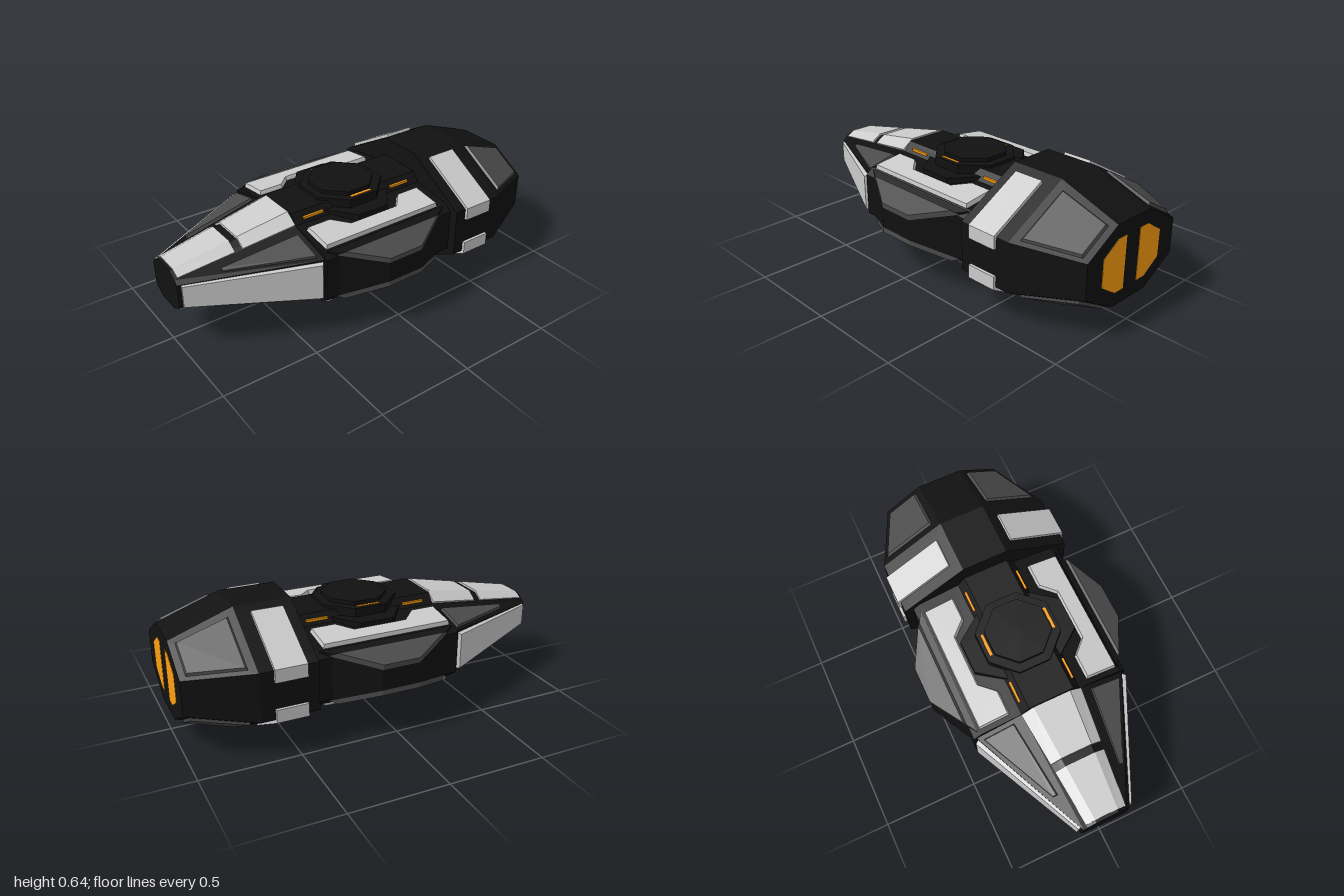
import * as THREE from 'three';

const mat = (color) => new THREE.MeshStandardMaterial({ color, flatShading: true });
const BLACK = mat(0x111111), DARK = mat(0x4c4c4c), LIGHT = mat(0xcccccc), AMBER = mat(0xffa010);
const V = (p) => new THREE.Vector3(...p);

function meshFrom(tris, material, name) {
  const g = new THREE.BufferGeometry().setFromPoints(tris);
  g.computeVertexNormals();
  const m = new THREE.Mesh(g, material);
  m.name = name;
  return m;
}

// Solid through rings of [x, y], sections ordered from low z to high z
function loft(sections, material, name) {
  const rings = sections.map(([z, ring]) => {
    const pts = ring.map(([x, y]) => new THREE.Vector2(x, y));
    if (THREE.ShapeUtils.isClockWise(pts)) pts.reverse();
    return { flat: pts, pts: pts.map((p) => new THREE.Vector3(p.x, p.y, z)) };
  });
  const tris = [];
  for (let k = 0; k < rings.length - 1; k++) {
    const a = rings[k].pts, b = rings[k + 1].pts;
    a.forEach((p, i) => {
      const j = (i + 1) % a.length;
      tris.push(p, a[j], b[j], p, b[j], b[i]);
    });
  }
  const first = rings[0], last = rings[rings.length - 1];
  for (const [i, j, k] of THREE.ShapeUtils.triangulateShape(first.flat, [])) tris.push(first.pts[i], first.pts[k], first.pts[j]);
  for (const [i, j, k] of THREE.ShapeUtils.triangulateShape(last.flat, [])) tris.push(last.pts[i], last.pts[j], last.pts[k]);
  return meshFrom(tris, material, name);
}

// Full ring from the points of one quadrant, listed top to side
function quad(points) {
  const flip = (sx, sy) => points.map(([x, y]) => [sx * x, sy * y]);
  return [...flip(1, 1), ...flip(1, -1).reverse(), ...flip(-1, -1), ...flip(-1, 1).reverse()];
}

// Armour plate with bevelled rim, raised outward from a polygon
function plate(corners, material, name, height = 0.014, inset = 0.01, sink = 0.01) {
  let pts = corners.map(V);
  const n = pts.length, N = new THREE.Vector3(), mid = new THREE.Vector3();
  pts.forEach((p, i) => {
    N.add(p.clone().cross(pts[(i + 1) % n]));
    mid.add(p);
  });
  N.normalize();
  if (N.dot(mid) < 0) {
    pts.reverse();
    N.negate();
  }
  const inward = (i) => N.clone().cross(pts[(i + 1) % n].clone().sub(pts[i % n])).normalize();
  const top = pts.map((p, i) => {
    const a = inward(i + n - 1), b = inward(i);
    const off = a.clone().add(b).multiplyScalar(inset / (1 + a.dot(b)));
    return p.clone().add(off).addScaledVector(N, height);
  });
  const base = pts.map((p) => p.clone().addScaledVector(N, -sink));
  const u = pts[1].clone().sub(pts[0]).normalize(), w = N.clone().cross(u);
  const flat = top.map((p) => new THREE.Vector2(p.dot(u), p.dot(w)));
  const tris = [];
  for (const [i, j, k] of THREE.ShapeUtils.triangulateShape(flat, [])) tris.push(top[i], top[j], top[k]);
  for (let i = 0; i < n; i++) {
    const j = (i + 1) % n;
    tris.push(base[i], base[j], top[j], base[i], top[j], top[i]);
  }
  return meshFrom(tris, material, name);
}

export function createModel() {
  const ship = new THREE.Group();
  ship.name = 'spaceship';
  const body = new THREE.Group();
  body.name = 'body';
  body.position.y = 0.32;
  ship.add(body);
  const add = (m) => body.add(m);

  // Hull: stern block, midsection and tapering nose
  const stern = quad([[0.12, 0.32], [0.465, 0.125]]);
  add(loft([[-1, quad([[0.12, 0.205], [0.32, 0.09]])], [-0.68, stern], [-0.39, stern]], BLACK, 'sternHull'));
  const middle = quad([[0.12, 0.22], [0.16, 0.17], [0.38, 0.14], [0.42, 0.11]]);
  add(loft([[-0.4, middle], [0.38, middle]], BLACK, 'middleHull'));
  add(loft([
    [0.37, quad([[0.1, 0.21], [0.16, 0.17], [0.41, 0.11]])],
    [1, quad([[0.06, 0.105], [0.105, 0.08], [0.125, 0.06]])],
  ], BLACK, 'noseHull'));

  // Stepped octagonal turret, passing through to the underside
  for (const [r, h, sz, name] of [[0.28, 0.38, 0.76, 'turretBase'], [0.2, 0.47, 1, 'turretRing'], [0.157, 0.51, 1, 'turretCap']]) {
    const R = r / Math.cos(Math.PI / 8);
    const g = new THREE.CylinderGeometry(R, R, h, 8).rotateY(Math.PI / 8).scale(1, 1, sz);
    const m = new THREE.Mesh(g, BLACK);
    m.name = name;
    add(m);
  }

  const strip = (x, y, z, w, h, d) => {
    const m = new THREE.Mesh(new THREE.BoxGeometry(w, h, d), AMBER);
    m.name = 'lightStrip';
    m.position.set(x, y, z);
    add(m);
  };

  for (const sx of [1, -1]) {
    // Side pod
    const pod = loft([[0.39, quad([[0.36, 0.14]])], [0.535, quad([[0.1, 0.066]])]], BLACK, 'sidePod');
    pod.rotation.y = sx * Math.PI / 2;
    add(pod);

    // Nose cheek plate
    add(plate([[0.41, 0.1, 0.39], [0.41, -0.1, 0.39], [0.13, -0.062, 0.985], [0.13, 0.062, 0.985]]
      .map(([x, y, z]) => [sx * x, y, z]), LIGHT, 'nosePlate', 0.014, 0.006));

    // Engine glow
    add(plate([[0.05, 0.135], [0.11, 0.135], [0.21, 0.07], [0.21, -0.07], [0.11, -0.135], [0.05, -0.135]]
      .map(([x, y]) => [sx * x, y, -1]), AMBER, 'engineGlow', 0.002, 0, 0));

    for (const sy of [1, -1]) {
      const m = (pts) => pts.map(([x, y, z]) => [sx * x, sy * y, z]);
      // Light plates cut around the turret
      const deckY = (x) => 0.17 - 0.136 * (x - 0.16);
      add(plate(m([[0.21, -0.335], [0.38, -0.335], [0.38, 0.355], [0.21, 0.355], [0.21, 0.22],
        [0.285, 0.145], [0.285, -0.13], [0.21, -0.2]].map(([x, z]) => [x, deckY(x), z])), LIGHT, 'deckPlate', 0.022, 0.008));
      // Dark plates on pod, nose and stern
      add(plate(m([[0.42, 0.126, -0.32], [0.543, 0.063, -0.1], [0.543, 0.063, 0.1], [0.42, 0.126, 0.32]]), DARK, 'podPlate'));
      add(plate(m([[0.21, 0.154, 0.4], [0.38, 0.113, 0.4], [0.192, 0.085, 0.8], [0.165, 0.094, 0.8]]), DARK, 'noseDarkPlate', 0.012, 0.006));
      add(plate(m([[0.15, 0.292, -0.71], [0.435, 0.131, -0.71], [0.317, 0.103, -0.975], [0.145, 0.202, -0.975]]), DARK, 'sternPlate', 0.012, 0.014));
      // Light band wrapping the stern shoulder
      const band = [[0.165, 0.28], [0.175, 0.307], [0.48, 0.135], [0.48, 0.068], [0.45, 0.068], [0.45, 0.12]]
        .map(([x, y]) => [sx * x, sy * y]);
      add(loft([[-0.61, band], [-0.45, band]], LIGHT, 'sternBand'));
      // Light strips on spine and turret
      for (const sz of [1, -1]) strip(sx * 0.146, sy * 0.192, sz * 0.268, 0.012, 0.012, 0.115);
      strip(sx * 0.173, sy * 0.236, 0, 0.014, 0.004, 0.12);
    }
  }

  // Three-sided plates along the nose ridge, above and below
  for (const sy of [1, -1]) {
    const ridge = (z) => {
      const t = (1 - z) / 0.62;
      const w1 = 0.06 + 0.04 * t, w2 = 0.105 + 0.06 * t, y1 = 0.11 + 0.117 * t, y2 = 0.085 + 0.097 * t;
      const half = [[w1, y1], [w2, y2], [w2 - 0.02, y2 - 0.03]];
      return [z, [...half, ...half.map(([x, y]) => [-x, y]).reverse()].map(([x, y]) => [x, sy * y])];
    };
    for (const [a, b] of [[0.385, 0.66], [0.7, 0.985]]) add(loft([ridge(a), ridge(b)], LIGHT, 'ridgePlate'));
  }
  return ship;
}
